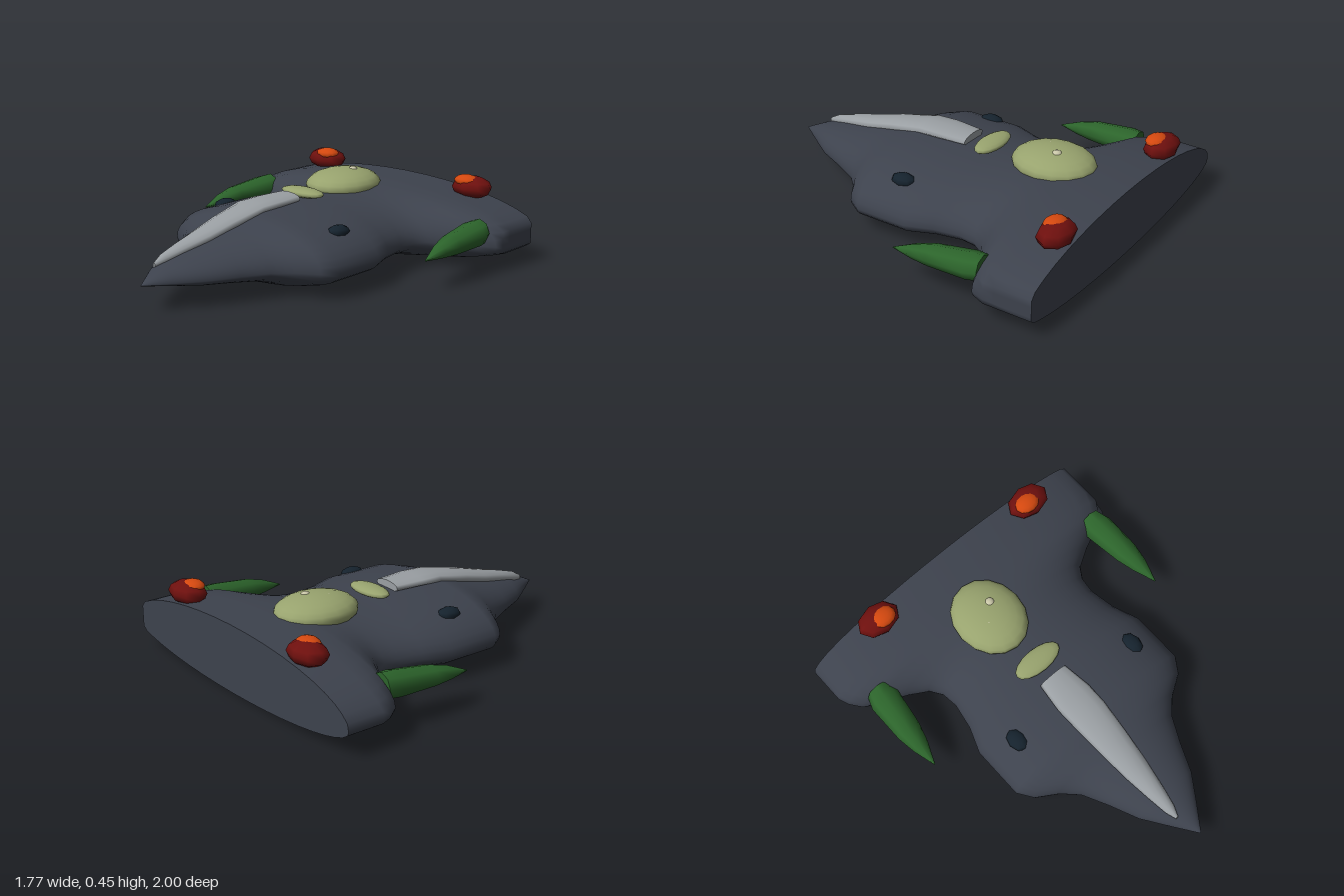
import * as THREE from 'three';

const MID = 0.035; // symmetry plane of the craft

const paint = (color, flat = false) =>
  new THREE.MeshStandardMaterial({ color, flatShading: flat });

// Skin elliptical sections [z, centreX, edgeY, halfWidth, topY, bottomY], ordered back to front
function loft(sections, sides, limit = Infinity) {
  const pos = [], index = [];
  const ring = ([z, cx, cy, rx, top, bottom]) => {
    for (let j = 0; j < sides; j++) {
      const a = (j / sides) * Math.PI * 2, s = Math.sin(a);
      const x = THREE.MathUtils.clamp(cx + rx * Math.cos(a), -limit, limit);
      pos.push(x, cy + s * (s > 0 ? top - cy : cy - bottom), z);
    }
  };
  sections.forEach(ring);
  for (let i = 0; i < sections.length - 1; i++) {
    for (let j = 0; j < sides; j++) {
      const a = i * sides + j, b = i * sides + (j + 1) % sides;
      index.push(a, b, b + sides, a, b + sides, a + sides);
    }
  }
  // Flat caps with their own vertices
  [[sections[0], true], [sections[sections.length - 1], false]].forEach(([s, back]) => {
    const start = pos.length / 3;
    ring(s);
    pos.push(s[1], s[2], s[0]);
    for (let j = 0; j < sides; j++) {
      const a = start + j, b = start + (j + 1) % sides, c = start + sides;
      index.push(...(back ? [b, a, c] : [a, b, c]));
    }
  });
  const g = new THREE.BufferGeometry();
  g.setAttribute('position', new THREE.Float32BufferAttribute(pos, 3));
  g.setIndex(index);
  g.computeVertexNormals();
  return g;
}

export function createModel() {
  const model = new THREE.Group();
  model.name = 'starfighter';

  const add = (name, geometry, material) => {
    const mesh = new THREE.Mesh(geometry, material);
    mesh.name = name;
    model.add(mesh);
    return mesh;
  };
  const blob = (name, material, center, radii, w = 16, h = 10) => {
    const g = new THREE.SphereGeometry(1, w, h);
    g.scale(...radii);
    g.translate(...center);
    // Nothing reaches behind the flat tail
    const p = g.attributes.position;
    for (let i = 0; i < p.count; i++) p.setZ(i, Math.max(p.getZ(i), -1));
    return add(name, g, material);
  };

  // Hull: z, half width, edge height, top, bottom
  const hull = [
    [-1, 0.925, 0.14, 0.362, 0.003],
    [-0.8, 0.925, 0.14, 0.365, 0],
    [-0.74, 0.9, 0.14, 0.362, 0],
    [-0.68, 0.855, 0.14, 0.36, 0],
    [-0.64, 0.77, 0.14, 0.356, 0],
    [-0.58, 0.64, 0.14, 0.352, 0.002],
    [-0.52, 0.54, 0.14, 0.348, 0.008],
    [-0.45, 0.495, 0.14, 0.345, 0.02],
    [-0.36, 0.485, 0.14, 0.343, 0.025],
    [-0.22, 0.51, 0.14, 0.345, 0.016],
    [-0.08, 0.563, 0.14, 0.355, 0.002],
    [0.21, 0.563, 0.14, 0.355, 0.002],
    [0.29, 0.51, 0.14, 0.335, 0.015],
    [0.36, 0.4, 0.14, 0.316, 0.038],
    [0.44, 0.32, 0.14, 0.3, 0.057],
    [0.58, 0.25, 0.14, 0.265, 0.075],
    [0.73, 0.185, 0.14, 0.235, 0.092],
    [0.87, 0.09, 0.138, 0.198, 0.115],
    [0.995, 0.002, 0.136, 0.138, 0.134],
  ].map(([z, w, y, top, bottom]) => [z, MID, y, w, top, bottom]);
  add('hull', loft(hull, 40, 0.887), paint(0x3d424d));

  // Pale spine running down the nose
  const spine = [
    [-0.08, 0.085, 0.34, 0.394],
    [0.08, 0.105, 0.34, 0.395],
    [0.2, 0.103, 0.33, 0.393],
    [0.4, 0.087, 0.28, 0.352],
    [0.55, 0.072, 0.24, 0.312],
    [0.7, 0.05, 0.21, 0.275],
    [0.81, 0.03, 0.185, 0.243],
    [0.865, 0.008, 0.185, 0.212],
  ].map(([z, w, bottom, top]) => [z, -0.015, (top + bottom) / 2, w, top, bottom]);
  add('noseSpine', loft(spine, 12), paint(0x9a9fa3));

  // Cockpit dome with its studs, and the plate ahead of it
  const olive = paint(0x98a36e), ivory = paint(0xc9c6a8);
  blob('cockpitDome', olive, [-0.04, 0.355, -0.55], [0.188, 0.085, 0.225], 16, 12);
  blob('domeStud', ivory, [-0.003, 0.423, -0.585], [0.027, 0.024, 0.027]);
  blob('domeSmallStud', ivory, [-0.08, 0.424, -0.5], [0.012, 0.012, 0.012], 8, 6);
  blob('foredeckPlate', olive, [-0.018, 0.37, -0.195], [0.14, 0.026, 0.065], 16, 8);

  // Paired parts on each side
  const green = paint(0x2c642b), red = paint(0x6e100e);
  const orange = paint(0xd4480f), dark = paint(0x15222d);
  for (const side of [-1, 1]) {
    const label = side > 0 ? 'left' : 'right';
    const x = (d) => MID + side * d;

    // Tapered wing cannon
    const cannon = [
      [-0.675, 0.745, 0.208, 0.066, 0.068],
      [-0.61, 0.75, 0.205, 0.084, 0.068],
      [-0.4, 0.765, 0.193, 0.068, 0.053],
      [-0.3, 0.771, 0.182, 0.046, 0.036],
      [-0.18, 0.778, 0.162, 0.003, 0.003],
    ].map(([z, d, y, rx, ry]) => [z, x(d), y, rx, y + ry, y - ry]);
    add(label + 'WingCannon', loft(cannon, 8), green);

    // Engine pod with glowing cap
    blob(label + 'EnginePod', red, [x(0.517), 0.365, -0.92], [0.122, 0.06, 0.088], 8, 6);
    blob(label + 'EngineGlow', orange, [x(0.495), 0.4, -0.9], [0.07, 0.032, 0.056], 12, 8);

    // Dark port on the forward hull
    blob(label + 'HullPort', dark, [x(0.397), 0.285, 0.037], [0.05, 0.033, 0.068], 8, 6);
  }
  return model;
}
